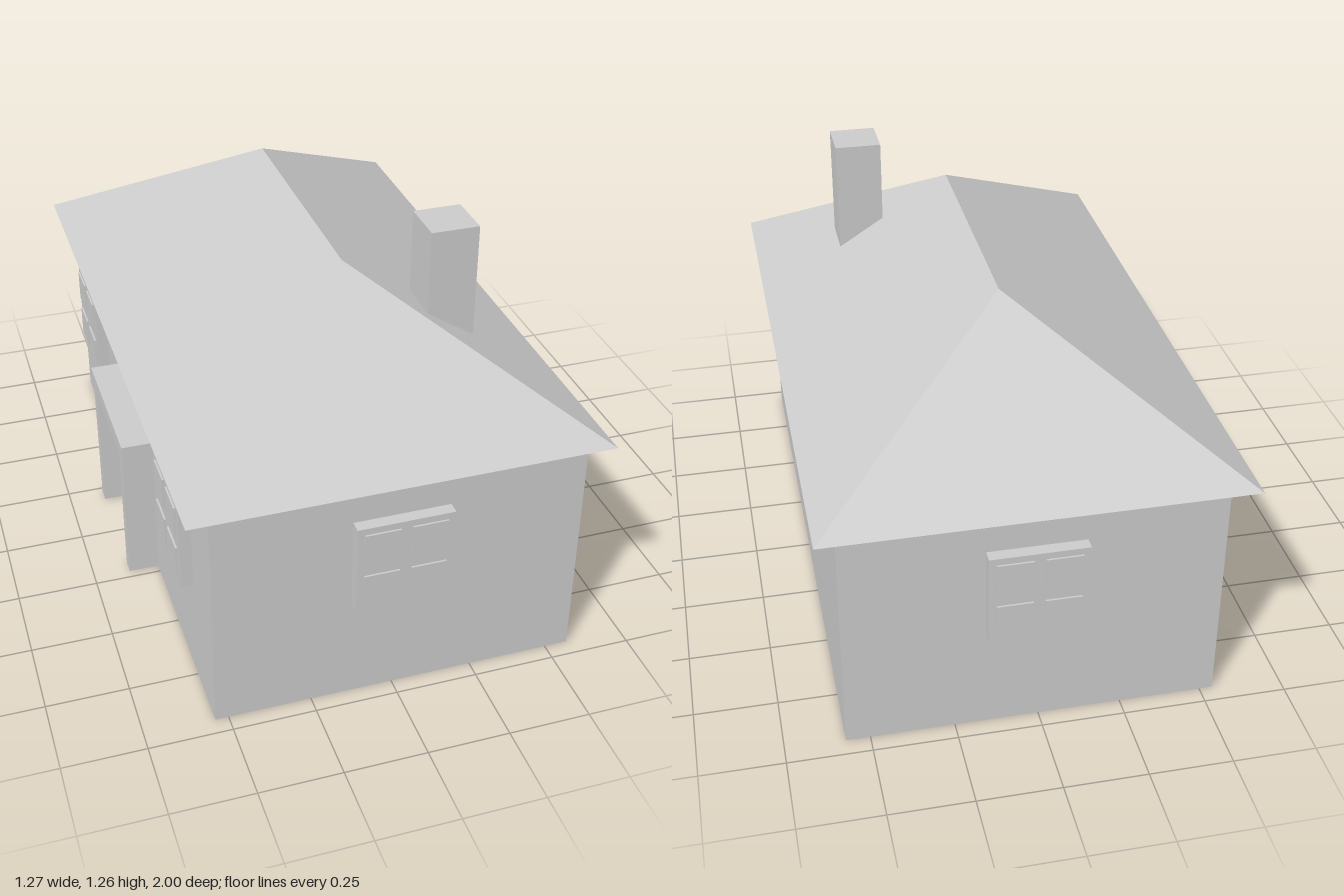
import * as THREE from 'three';

const material = new THREE.MeshStandardMaterial({ color: 0xcccccc, flatShading: true });

// Box given by its extents on each axis
function box(name, [x0, x1], [y0, y1], [z0, z1]) {
  const mesh = new THREE.Mesh(new THREE.BoxGeometry(x1 - x0, y1 - y0, z1 - z0), material);
  mesh.position.set((x0 + x1) / 2, (y0 + y1) / 2, (z0 + z1) / 2);
  mesh.name = name;
  return mesh;
}

// Hip roof: closed base at y = 0, ridge along z
function hipRoof(w, d, h, r) {
  const a = [-w, 0, d], b = [w, 0, d], c = [w, 0, -d], e = [-w, 0, -d];
  const f = [0, h, r], g = [0, h, -r];
  const triangles = [
    a, b, f, // front hip
    c, e, g, // back hip
    b, c, g, b, g, f, // right slope
    e, a, f, e, f, g, // left slope
    a, e, c, a, c, b, // underside
  ];
  const geometry = new THREE.BufferGeometry();
  geometry.setAttribute('position', new THREE.Float32BufferAttribute(triangles.flat(), 3));
  geometry.computeVertexNormals();
  const roof = new THREE.Mesh(geometry, material);
  roof.name = 'roof';
  return roof;
}

// Window with four slightly raised panes, its back on the wall and facing +z before turning
function makeWindow(name, x, z, turn) {
  const win = new THREE.Group();
  win.name = name;
  win.add(box('windowFrame', [-0.145, 0.145], [-0.145, 0.145], [0, 0.037]));
  for (const px of [-0.07, 0.07]) {
    for (const py of [-0.07, 0.073]) {
      win.add(box('windowPane', [px - 0.053, px + 0.053], [py - 0.051, py + 0.051], [0.02, 0.043]));
    }
  }
  win.position.set(x, 0.475, z);
  win.rotation.y = turn;
  return win;
}

export function createModel() {
  const house = new THREE.Group();
  house.name = 'house';

  // Main body
  house.add(box('walls', [-0.54, 0.572], [0, 0.745], [-0.945, 0.948]));

  // Roof and chimney
  const roof = hipRoof(0.624, 1, 0.395, 0.408);
  roof.position.set(0.01, 0.745, 0);
  house.add(roof);
  house.add(box('chimney', [0.225, 0.371], [0.85, 1.265], [0.408, 0.555]));

  // Windows on both ends and beside the door
  house.add(makeWindow('frontWindow', 0.014, 0.948, 0));
  house.add(makeWindow('backWindow', 0.014, -0.945, Math.PI));
  for (const z of [-0.61, 0.587]) {
    house.add(makeWindow('sideWindow', -0.54, z, -Math.PI / 2));
  }

  // Door surround: lintel on two posts
  house.add(box('doorLintel', [-0.638, -0.54], [0.448, 0.5], [-0.247, 0.24]));
  for (const z of [-0.202, 0.203]) {
    house.add(box('doorPost', [-0.636, -0.54], [0.004, 0.448], [z - 0.023, z + 0.023]));
  }

  return house;
}
